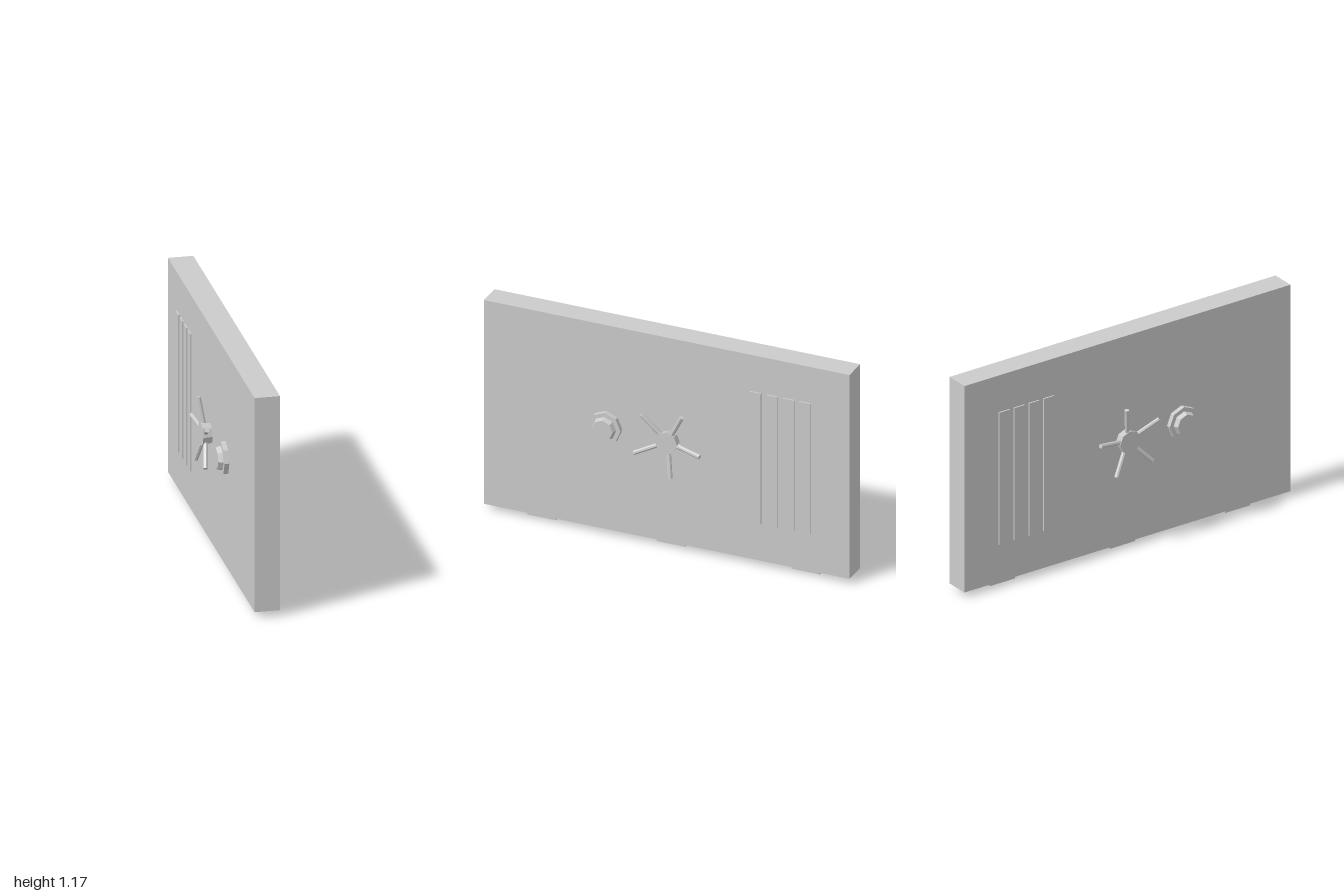
import * as THREE from 'three';

const material = new THREE.MeshStandardMaterial({ color: 0xcccccc, flatShading: true });

function add(parent, name, geometry, x = 0, y = 0, z = 0) {
  const mesh = new THREE.Mesh(geometry, material);
  mesh.name = name;
  mesh.position.set(x, y, z);
  parent.add(mesh);
  return mesh;
}

// Eight-sided frustum whose axis runs along x from x0 to x1
function knob(parent, name, r0, r1, x0, x1, z) {
  const geometry = new THREE.CylinderGeometry(r1, r0, x1 - x0, 8).rotateZ(-Math.PI / 2);
  return add(parent, name, geometry, (x0 + x1) / 2, 0, z);
}

// Dial and spoked handle for the +x face, built around y = 0
function createFittings(name) {
  const fittings = new THREE.Group();
  fittings.name = name;

  // Stepped combination dial
  knob(fittings, 'dialBase', 0.088, 0.088, 0.05, 0.09, 0.33);
  knob(fittings, 'dialKnob', 0.065, 0.056, 0.09, 0.115, 0.33);

  // Handle hub with five spokes leaning away from the door
  const handle = new THREE.Group();
  handle.name = 'handle';
  handle.position.z = -0.018;
  fittings.add(handle);
  knob(handle, 'hub', 0.05, 0.062, 0.05, 0.115, 0);
  for (let i = 0; i < 5; i++) {
    const angle = THREE.MathUtils.degToRad(-10 + 72 * i);
    const at = (r) => new THREE.Vector3(0.09 + 0.16 * r, Math.sin(angle) * r, -Math.cos(angle) * r);
    const start = at(0.02), end = at(0.19);
    const spoke = add(handle, 'spoke', new THREE.CylinderGeometry(0.012, 0.012, start.distanceTo(end), 8));
    spoke.position.copy(start).lerp(end, 0.5);
    spoke.quaternion.setFromUnitVectors(new THREE.Vector3(0, 1, 0), end.sub(start).normalize());
  }
  return fittings;
}

export function createModel() {
  const model = new THREE.Group();
  model.name = 'vaultDoor';

  // Door slab
  add(model, 'doorPanel', new THREE.BoxGeometry(0.13, 1.145, 2), 0, 0.6025, 0);

  // Three feet under the slab
  for (const z of [0.7, -0.007, -0.743]) {
    add(model, 'foot', new THREE.BoxGeometry(0.058, 0.04, 0.155), 0, 0.02, z);
  }

  // Raised vertical slats on both faces
  for (const side of [-1, 1]) {
    for (let i = 0; i < 4; i++) {
      add(model, 'slat', new THREE.BoxGeometry(0.023, 0.735, 0.063), side * 0.0615, 0.604, -0.486 - 0.091 * i);
    }
  }

  // Fittings on both faces, the second set turned half a turn about z
  const left = createFittings('leftFittings');
  const right = createFittings('rightFittings');
  right.rotation.z = Math.PI;
  for (const fittings of [left, right]) {
    fittings.position.y = 0.606;
    model.add(fittings);
  }
  return model;
}
